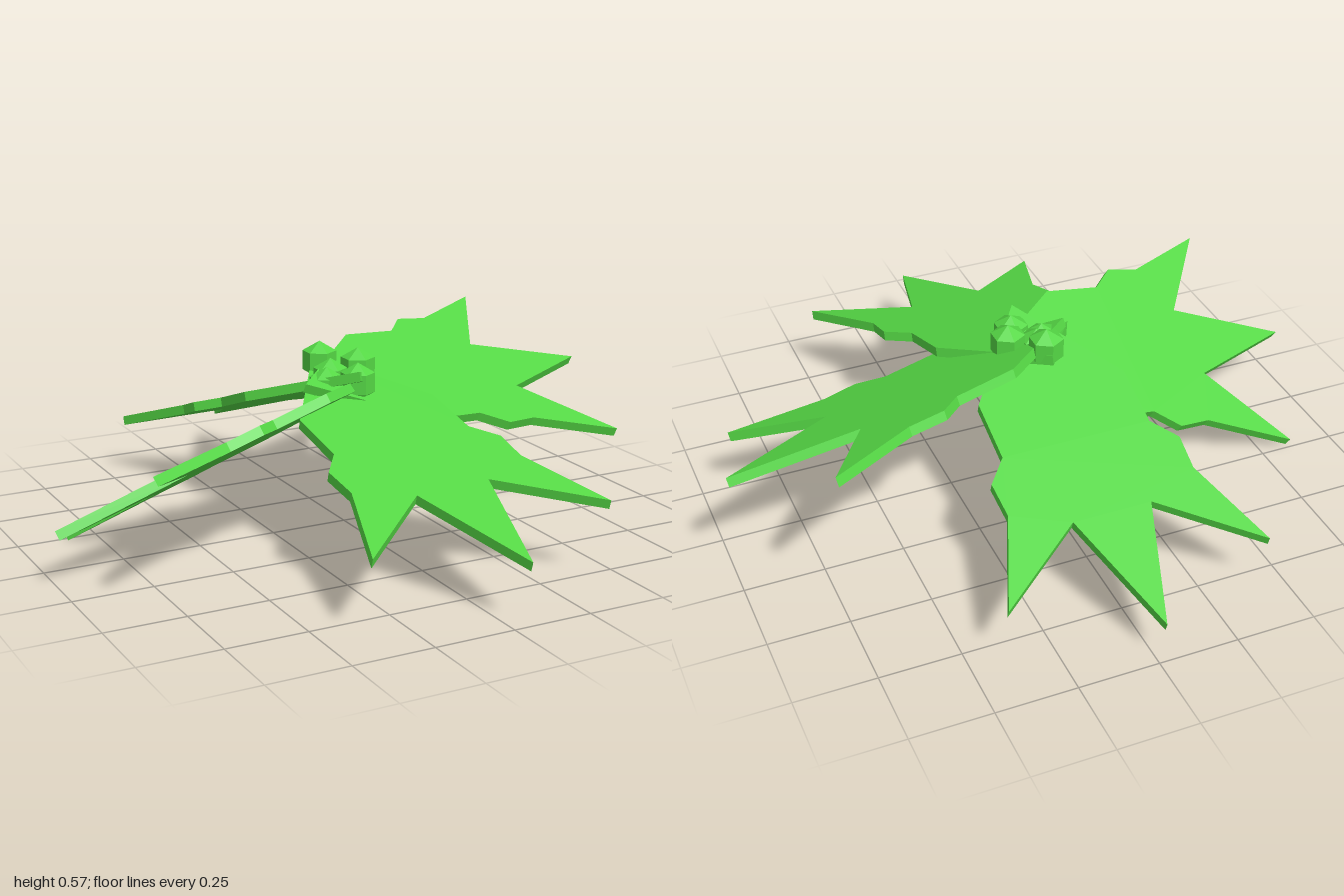
import * as THREE from 'three';

const THICK = 0.03;

// Half outline of a leaf, from root to tip: [across, along]
const HALF = [
  [0.24, 0.34], [0.24, 0.54], [0.305, 0.62], [0.298, 0.735],
  [0.41, 1.03], [0.125, 0.81],
];

// Each leaf lies in the plane y = a + b*x + c*z and runs from root to tip (x, z)
const LEAVES = [
  { name: 'backLeaf', root: [-0.02, 0.145], tip: [-0.02, -0.99], plane: [0.455, 0, 0.345] },
  { name: 'frontLeaf', root: [-0.03, -0.165], tip: [0.06, 0.985], plane: [0.445, 0, -0.29] },
  { name: 'rightLeaf', root: [0.14, -0.04], tip: [-1, 0.15], plane: [0.416, 0.337, 0.523] },
  { name: 'leftLeaf', root: [-0.17, 0.06], tip: [1, -0.2], plane: [0.46, -0.178, -0.391] },
];

const BERRIES = [
  [-0.035, 0.505, -0.1], [0.057, 0.492, -0.015], [0.012, 0.467, 0.07],
  [-0.033, 0.465, -0.028], [-0.068, 0.45, 0.015],
];

function leafGeometry() {
  const points = [
    [0, 0], ...HALF, [0, 1.2],
    ...HALF.map(([u, v]) => [-u, v]).reverse(),
  ].map(([u, v]) => new THREE.Vector2(u, v));
  return new THREE.ExtrudeGeometry(new THREE.Shape(points), { depth: THICK, bevelEnabled: false })
    .translate(0, 0, -THICK / 2);
}

export function createModel() {
  const model = new THREE.Group();
  model.name = 'leafCluster';
  const green = new THREE.MeshStandardMaterial({ color: 0x55d845, flatShading: true });

  // Four identical spiky leaves, each tilted into its own plane
  const leafGeo = leafGeometry();
  for (const { name, root, tip, plane: [a, b, c] } of LEAVES) {
    const onPlane = ([x, z]) => new THREE.Vector3(x, a + b * x + c * z, z);
    const start = onPlane(root), end = onPlane(tip);
    const along = end.clone().sub(start).normalize();
    const normal = new THREE.Vector3(-b, 1, -c).normalize();
    const across = along.clone().cross(normal);
    const leaf = new THREE.Mesh(leafGeo, green);
    leaf.name = name;
    leaf.quaternion.setFromRotationMatrix(new THREE.Matrix4().makeBasis(across, along, normal));
    leaf.position.copy(end).addScaledVector(along, -1.2);
    model.add(leaf);
  }

  // Six-sided berries with pointed caps in the middle
  const berryGeo = new THREE.SphereGeometry(0.062, 6, 3).rotateY(Math.PI / 6);
  const berries = new THREE.Group();
  berries.name = 'berries';
  for (const p of BERRIES) {
    const berry = new THREE.Mesh(berryGeo, green);
    berry.name = 'berry';
    berry.position.set(...p);
    berries.add(berry);
  }
  model.add(berries);
  return model;
}
